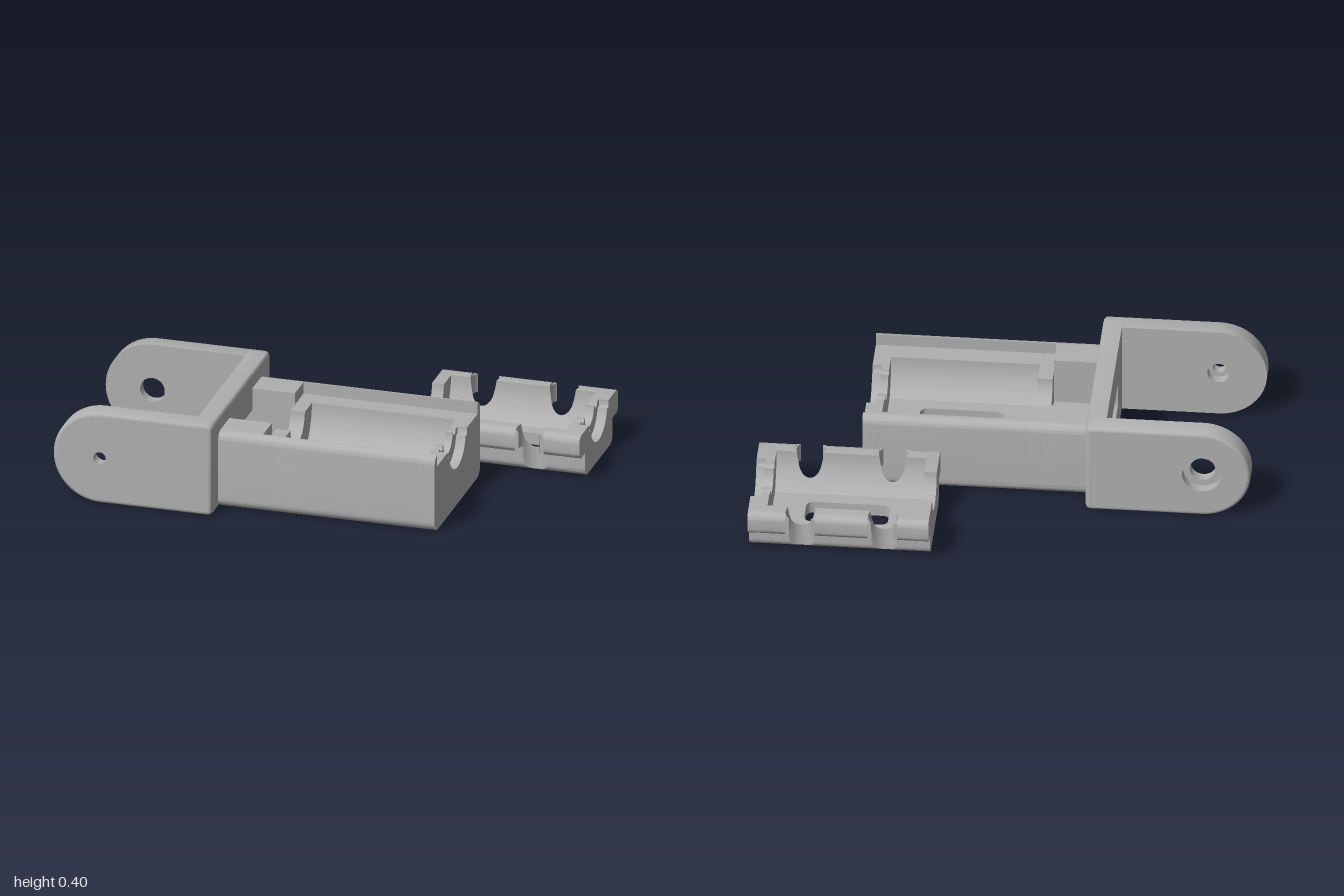
import * as THREE from 'three';
import { toCreasedNormals } from 'three/addons/utils/BufferGeometryUtils.js';

const grey = new THREE.MeshStandardMaterial({ color: 0xb0b0b0 });
grey.name = 'plastic grey';

const MID = 0.2325;      // z of the arm's centre line
const LID_Z = -0.3725;   // z of the lid's centre line
const CAV_R = 0.2, FLAT = 0.128; // cavity: round sides, flat floor
const DEPTH = Math.sqrt(CAV_R ** 2 - FLAT ** 2);

export function createModel() {
  const root = new THREE.Group();
  root.name = 'hingedMotorBracket';
  const bracket = new THREE.Group(), lid = new THREE.Group();
  bracket.name = 'bracket';
  lid.name = 'lid';
  root.add(bracket, lid);

  function add(parent, name, geo) {
    const mesh = new THREE.Mesh(toCreasedNormals(geo, 0.6), grey);
    mesh.name = name;
    parent.add(mesh);
    return mesh;
  }
  const v = (x, y) => new THREE.Vector2(x, y);
  function arc(cx, cy, r, a0, a1, n = 8) {
    return Array.from({ length: n + 1 }, (_, i) => {
      const a = (a0 + (a1 - a0) * i / n) * Math.PI / 180;
      return v(cx + r * Math.cos(a), cy + r * Math.sin(a));
    });
  }
  const flip = pts => pts.map(p => v(-p.x, p.y));
  const whole = half => [...half, ...flip(half.filter(p => p.x > 1e-6)).reverse()];
  const extrude = (shape, depth) => new THREE.ExtrudeGeometry(shape, { depth, bevelEnabled: false, curveSegments: 16 });

  // Cross-section (z, y) run along x
  function barX(parent, name, pts, x0, x1, z) {
    return add(parent, name, extrude(new THREE.Shape(pts), x1 - x0).rotateY(Math.PI / 2).translate(x0, 0, z));
  }
  // Plan rectangle with holes, raised along y
  function slab(parent, name, x0, x1, halfZ, y0, y1, z, holes) {
    const s = new THREE.Shape([v(x0, -halfZ), v(x1, -halfZ), v(x1, halfZ), v(x0, halfZ)]);
    holes.forEach(h => s.holes.push(new THREE.Path(h)));
    return add(parent, name, extrude(s, y1 - y0).rotateX(-Math.PI / 2).translate(0, y0, z));
  }
  const slot = cx => [
    ...arc(cx + 0.14, 0.04, 0.03, 0, 90), ...arc(cx - 0.14, 0.04, 0.03, 90, 180),
    ...arc(cx - 0.14, -0.04, 0.03, 180, 270), ...arc(cx + 0.14, -0.04, 0.03, 270, 360)];

  // Skin through matching closed rings
  function loft(rings) {
    const pos = [], idx = [], n = rings[0].length;
    rings.forEach(r => r.forEach(p => pos.push(p.x, p.y, p.z)));
    for (let k = 0; k < rings.length - 1; k++) {
      for (let i = 0; i < n; i++) {
        const a = k * n + i, b = k * n + (i + 1) % n;
        idx.push(a, b, b + n, a, b + n, a + n);
      }
    }
    const g = new THREE.BufferGeometry();
    g.setAttribute('position', new THREE.Float32BufferAttribute(pos, 3));
    g.setIndex(idx);
    return g;
  }

  // Half grooves in the end walls, from the outside to the centre line
  const shaftGroove = y => arc(0, y, 0.1, 0, -90, 14);
  const rimGroove = y => [...arc(0.09, y, 0.018, 0, -180), ...arc(0, y, 0.065, 0, -90, 12)];
  const mouthGroove = y => [v(0.137, y), ...arc(0.127, y - 0.02, 0.01, 0, -90, 4), ...arc(0, y, 0.12, -14, -90, 14)];
  const cavityArc = y => arc(0, y, CAV_R, 0, -Math.acos(FLAT / CAV_R) * 180 / Math.PI, 10);

  // ---- Fork cheeks: rounded outer rim around a core with a stepped hole
  const H = 0.1975, T = 0.085, R = 0.015;
  const cheekOutline = inset => [
    ...arc(-0.8025, 0, H - inset, 90, 270, 32),
    ...arc(-0.35, -H + 0.02, 0.02 - inset, -90, 0, 5),
    ...arc(-0.35, H - 0.02, 0.02 - inset, 0, 90, 5)];
  function cheek(name, innerHole, outerHole) {
    const g = new THREE.Group();
    g.name = name;
    [[innerHole, 0, T / 2], [outerHole, T / 2, T]].forEach(([r, z0, z1]) => {
      const s = new THREE.Shape(cheekOutline(R));
      s.holes.push(new THREE.Path(arc(-0.8025, 0, r, 0, 360, 28).slice(0, -1)));
      add(g, 'cheekCore', extrude(s, z1 - z0).translate(0, 0, z0));
    });
    const ring = (inset, z) => cheekOutline(inset).map(p => new THREE.Vector3(p.x, p.y, z));
    const rings = [ring(R, 0), ring(0, 0)];
    for (let i = 0; i <= 5; i++) {
      const a = i / 5 * Math.PI / 2;
      rings.push(ring(R * (1 - Math.cos(a)), T - R + R * Math.sin(a)));
    }
    add(g, 'cheekRim', loft(rings));
    g.children.forEach(m => m.geometry.translate(0, 0, 0.4125 - T));
    g.position.set(0, H, MID);
    bracket.add(g);
    return g;
  }
  cheek('frontCheek', 0.045, 0.026);
  cheek('rearCheek', 0.052, 0.08).rotation.x = Math.PI;

  // ---- Fork web with a rectangular window
  function web(name, y0, y1, z0, z1) {
    const c = 0.015;
    const low = y0 === 0 ? arc(-0.33 - c, c, c, -90, 0, 5) : [v(-0.33, y0)];
    const top = y1 === 2 * H ? arc(-0.33 - c, y1 - c, c, 0, 90, 5) : [v(-0.33, y1)];
    const s = new THREE.Shape([v(-0.41, y0), ...low, ...top, v(-0.41, y1)]);
    add(bracket, name, extrude(s, z1 - z0).translate(0, 0, z0));
  }
  web('webRear', 0, 2 * H, -0.15, MID - 0.16);
  web('webFront', 0, 2 * H, MID + 0.16, 0.615);
  web('webTop', 0.235, 2 * H, MID - 0.16, MID + 0.16);
  web('webBottom', 0, 0.13, MID - 0.16, MID + 0.16);

  // ---- Arm: bottom slab with slot and hexagonal nut pockets
  const Y0 = 0.05, LEDGE = 0.28, W = 0.3175, CX = 0.2125;
  const hexes = [];
  for (const x of [CX - 0.1675, CX + 0.1675]) {
    for (const z of [-0.23, 0.23]) hexes.push(arc(x, z, 0.04, 30, 330, 5));
  }
  slab(bracket, 'armBottom', -0.335, 0.585, 0.2775, 0, Y0, MID, [slot(CX), ...hexes]);
  const corner = [...arc(0.2775, 0.04, 0.04, -90, 0), v(W, Y0), v(0.2775, Y0)];
  for (const pts of [corner, flip(corner)]) barX(bracket, 'armBottomEdge', pts, -0.335, 0.585, MID);

  // ---- Arm: upper walls, cavity and end walls
  const wall = [v(W, Y0), ...arc(0.2825, 0.295, 0.035, 0, 90)];
  const ledge = [...wall, v(0.2825, LEDGE)];
  barX(bracket, 'cableChannel', whole([...wall, v(0.16, 0.33), v(0.16, 0.13), v(0, 0.13)]), -0.335, -0.15, MID);
  barX(bracket, 'shaftWall', whole([...ledge, ...shaftGroove(LEDGE)]), -0.15, -0.09, MID);
  barX(bracket, 'rimWall', whole([...ledge, ...rimGroove(LEDGE)]), 0.515, 0.545, MID);
  barX(bracket, 'mouthWall', whole([...ledge, ...mouthGroove(LEDGE)]), 0.545, 0.585, MID);
  const side = [...ledge, ...cavityArc(LEDGE), v(FLAT, Y0)];
  for (const pts of [side, flip(side)]) barX(bracket, 'cavitySide', pts, -0.09, 0.515, MID);
  slab(bracket, 'cavityFloor', -0.09, 0.515, FLAT, Y0, LEDGE - DEPTH, MID, [slot(CX)]);

  // ---- Lid: end walls and slotted floor
  const TOP = 0.205, LX = 0.62, NOTCH = 0.06, NZ = 0.23;
  const lidOuter = [
    ...arc(0.1575, 0.035, 0.035, -90, 0), v(0.1925, 0.105),
    ...arc(0.2425, 0.135, 0.03, -90, 0, 6), ...arc(0.2425, 0.175, 0.03, 0, 90, 6)];
  barX(lid, 'lidShaftWall', whole([...lidOuter, ...shaftGroove(TOP)]), 0.265, 0.315, LID_Z);
  barX(lid, 'lidRimWall', whole([...lidOuter, ...rimGroove(TOP)]), 0.925, 0.96, LID_Z);
  barX(lid, 'lidMouthWall', whole([...lidOuter, ...mouthGroove(TOP)]), 0.96, 1.0, LID_Z);
  slab(lid, 'lidFloor', 0.315, 0.925, FLAT, 0, TOP - DEPTH, LID_Z, [slot(LX)]);

  // ---- Lid: flanged sides, cut back where the round screw notches pass
  const lidSide = [v(FLAT, 0), ...lidOuter, ...cavityArc(TOP)];
  const lidRing = (d, limit) => lidSide.map(p => {
    const u = Math.min(p.x, limit);
    const y = u < CAV_R ? Math.min(p.y, TOP - Math.sqrt(CAV_R ** 2 - u * u)) : p.y;
    return new THREE.Vector3(u, y, d);
  });
  const rings = [lidRing(-0.305, 1)];
  for (const c of [-0.1675, 0.1675]) {
    rings.push(lidRing(c - NOTCH, 1));
    for (let i = 0; i <= 16; i++) {
      const a = i / 16 * Math.PI;
      rings.push(lidRing(c - NOTCH * Math.cos(a), NZ - NOTCH * Math.sin(a)));
    }
    rings.push(lidRing(c + NOTCH, 1));
  }
  rings.push(lidRing(0.305, 1));
  for (const turn of [0, Math.PI]) {
    const half = new THREE.Group();
    half.name = turn ? 'lidFrontSide' : 'lidRearSide';
    add(half, 'lidFlange', loft(rings).rotateY(Math.PI / 2));
    // Lips that narrow the notch mouths
    for (const c of [-0.1675, 0.1675]) {
      for (const s of [-1, 1]) {
        const pts = [...arc(0, 0, NOTCH, 0, 42, 6), v(0.0446, 0.04), v(NOTCH, 0.04)];
        const lip = new THREE.Shape(pts.map(p => v(c + s * p.x, NZ + p.y)));
        add(half, 'notchLip', extrude(lip, 0.08).rotateX(-Math.PI / 2).translate(0, 0.115, 0));
      }
    }
    half.rotation.y = turn;
    half.position.set(LX, 0, LID_Z);
    lid.add(half);
  }
  return root;
}
